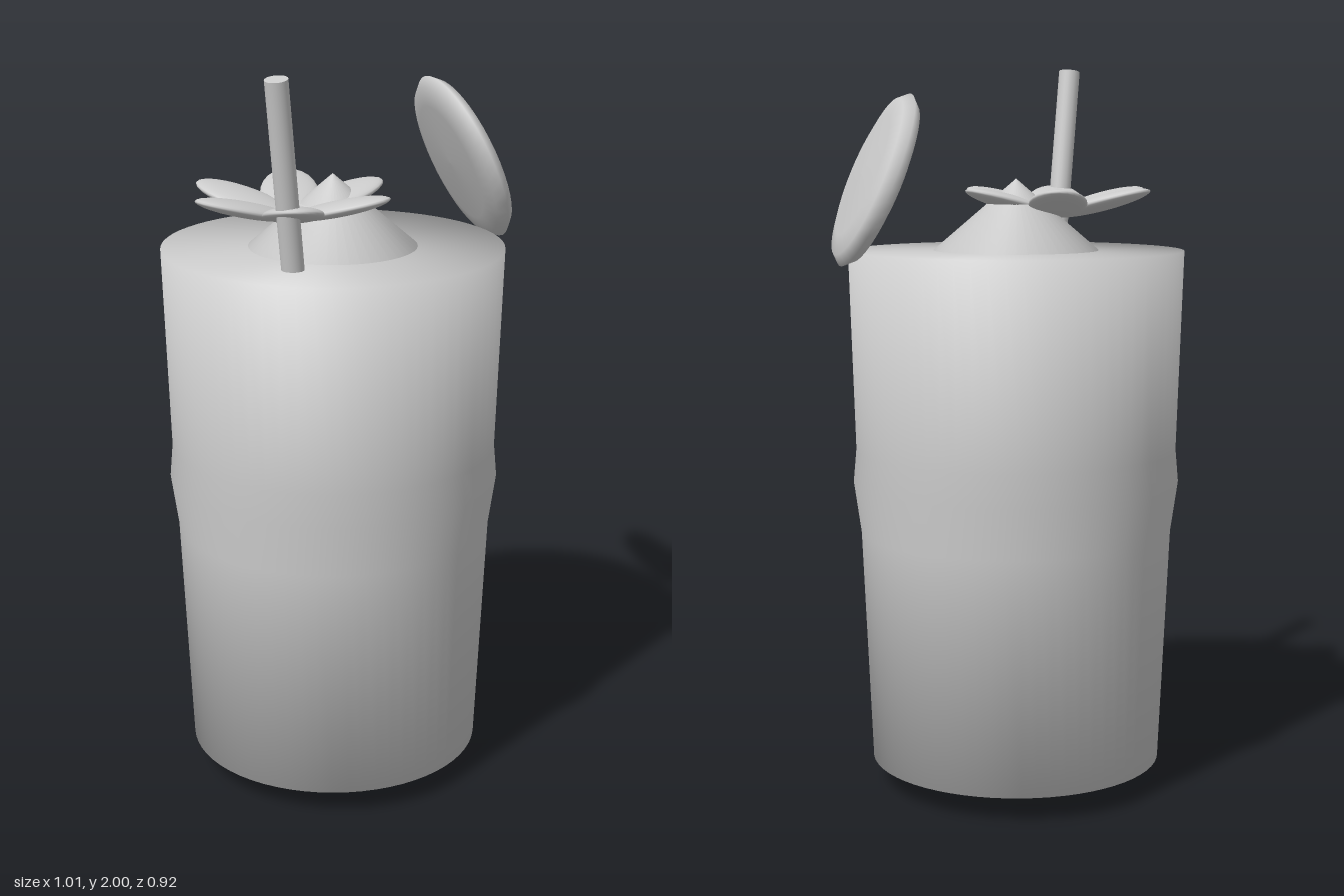
import * as THREE from 'three';

const grey = new THREE.MeshStandardMaterial({ color: 0xcccccc });
grey.name = 'grey';

function part(name, geometry) {
  const mesh = new THREE.Mesh(geometry, grey);
  mesh.name = name;
  return mesh;
}

// Smooth turned shape from [radius, height] points, bottom to top
function lathe(points, segments) {
  return new THREE.LatheGeometry(points.map(([r, y]) => new THREE.Vector2(r, y)), segments);
}

export function createModel() {
  const model = new THREE.Group();
  model.name = 'drink';
  const UP = new THREE.Vector3(0, 1, 0);

  // Tall cup with a slight bulge around the middle, softly shaded over its rims
  const cup = part('cup', lathe([
    [0, 0.07], [0.405, 0.07], [0.433, 0.72], [0.453, 0.86], [0.445, 0.95], [0.462, 1.5], [0, 1.5],
  ], 64));
  cup.position.x = -0.05;
  model.add(cup);

  // Filling whose pointed ends show above and below the cup
  const filling = part('filling', lathe([[0, 0], [0.38, 0.37], [0.38, 1.37], [0, 1.695]], 48));
  filling.position.x = -0.05;
  model.add(filling);

  // Flower of six upturned petals
  const flower = new THREE.Group();
  flower.name = 'flower';
  flower.position.set(-0.18, 1.592, 0);
  const petalShape = new THREE.SphereGeometry(1, 24, 16);
  const tilt = 0.25;
  for (let i = 0; i < 6; i++) {
    const arm = new THREE.Group();
    arm.name = 'petalArm';
    arm.rotation.y = (i * Math.PI) / 3;
    const petal = part('petal', petalShape);
    petal.scale.set(0.147, 0.021, 0.08);
    petal.rotation.z = tilt;
    petal.position.set(0.145 * Math.cos(tilt), 0.145 * Math.sin(tilt), 0);
    arm.add(petal);
    flower.add(arm);
  }
  model.add(flower);

  // Leaning straw
  const top = new THREE.Vector3(-0.364, 1.995, 0.23);
  const base = new THREE.Vector3(-0.21, 1.0, 0.122);
  const axis = top.clone().sub(base);
  const straw = part('straw', new THREE.CylinderGeometry(0.03, 0.03, axis.length(), 20));
  straw.position.copy(top).add(base).multiplyScalar(0.5);
  straw.quaternion.setFromUnitVectors(UP, axis.normalize());
  model.add(straw);

  // Fruit slice perched on the rim
  const slice = part('fruitSlice', lathe([
    [0, -0.04], [0.17, -0.036], [0.222, -0.024], [0.244, 0], [0.222, 0.024], [0.17, 0.036], [0, 0.04],
  ], 40));
  slice.position.set(0.38, 1.695, 0);
  slice.quaternion.setFromUnitVectors(UP, new THREE.Vector3(0.89, 0.39, 0.23).normalize());
  model.add(slice);

  return model;
}
